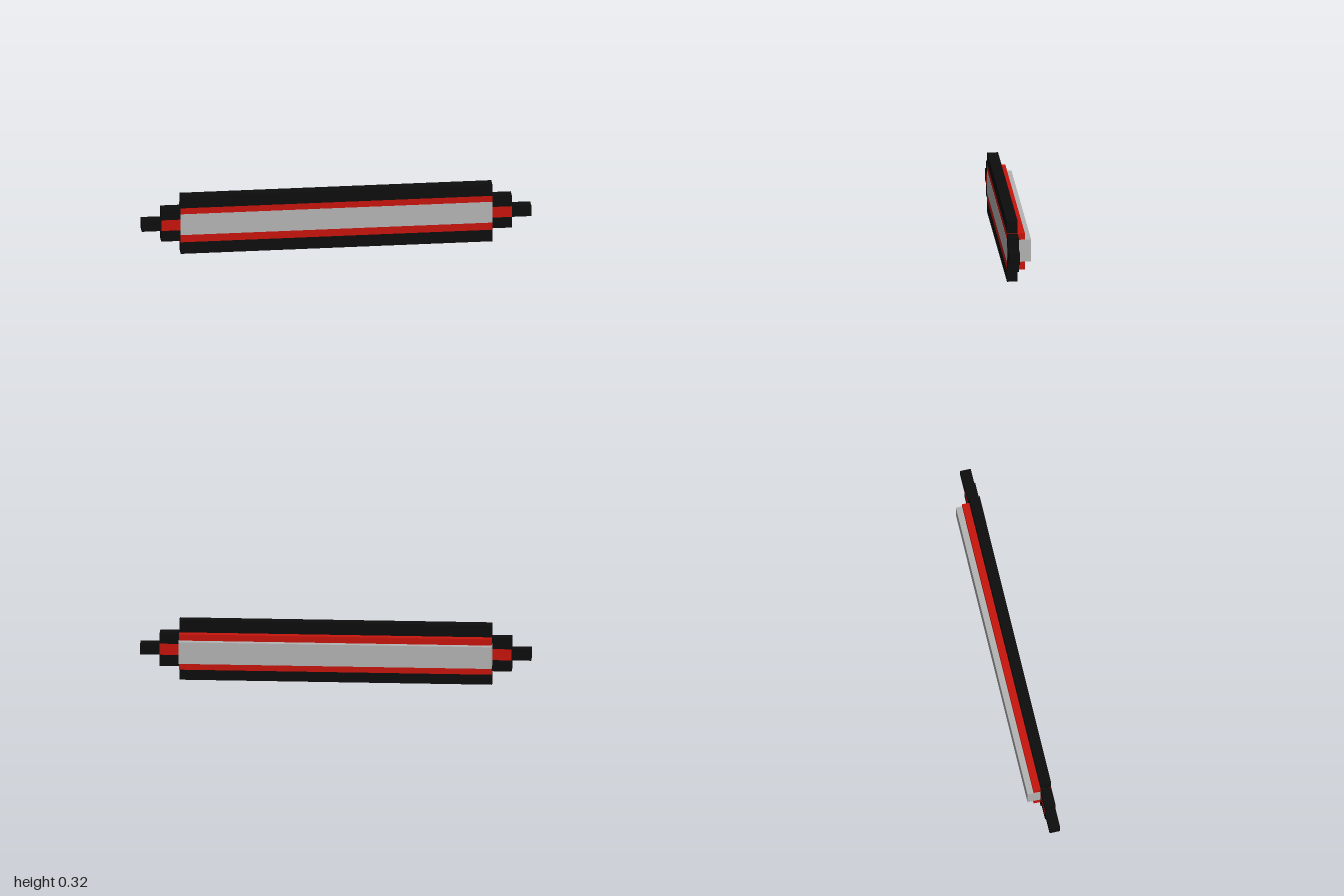
import * as THREE from 'three';

const BLACK = 0x0d0d0d, RED = 0xc8140c, GREY = 0xb4b4b4;
const BACK = 0.007, FRONT = 0.062; // depth of the stepped frame

export function createModel() {
  const model = new THREE.Group();

  // Box given by its limits on each axis
  const block = (name, color, [x0, x1], [y0, y1], [z0, z1] = [BACK, FRONT]) => {
    const mesh = new THREE.Mesh(
      new THREE.BoxGeometry(x1 - x0, y1 - y0, z1 - z0),
      new THREE.MeshStandardMaterial({ color })
    );
    mesh.position.set((x0 + x1) / 2, (y0 + y1) / 2, (z0 + z1) / 2);
    mesh.name = name;
    model.add(mesh);
  };

  // Long frame rails
  block('lowerRail', BLACK, [-0.8, 0.8], [0, 0.064]);
  block('upperRail', BLACK, [-0.8, 0.8], [0.252, 0.316]);

  // Red core, standing out behind the rails
  block('core', RED, [-0.8, 0.8], [0.064, 0.252], [-0.03, FRONT]);

  // Grey bar through the core, a hair proud of it to stay visible
  block('centreBar', GREY, [-0.801, 0.801], [0.104, 0.219], [-0.062, FRONT + 0.0008]);

  // Stepped ends, mirrored
  for (const [side, s] of [['left', 1], ['right', -1]]) {
    const span = (a, b) => (s > 0 ? [a, b] : [-b, -a]);
    block(side + 'LowerStep', BLACK, span(0.8, 0.9), [0.072, 0.131]);
    block(side + 'UpperStep', BLACK, span(0.8, 0.9), [0.19, 0.25]);
    block(side + 'EndInlay', RED, span(0.8, 0.9), [0.131, 0.19]);
    block(side + 'Tip', BLACK, span(0.9, 1), [0.131, 0.19]);
  }
  return model;
}
